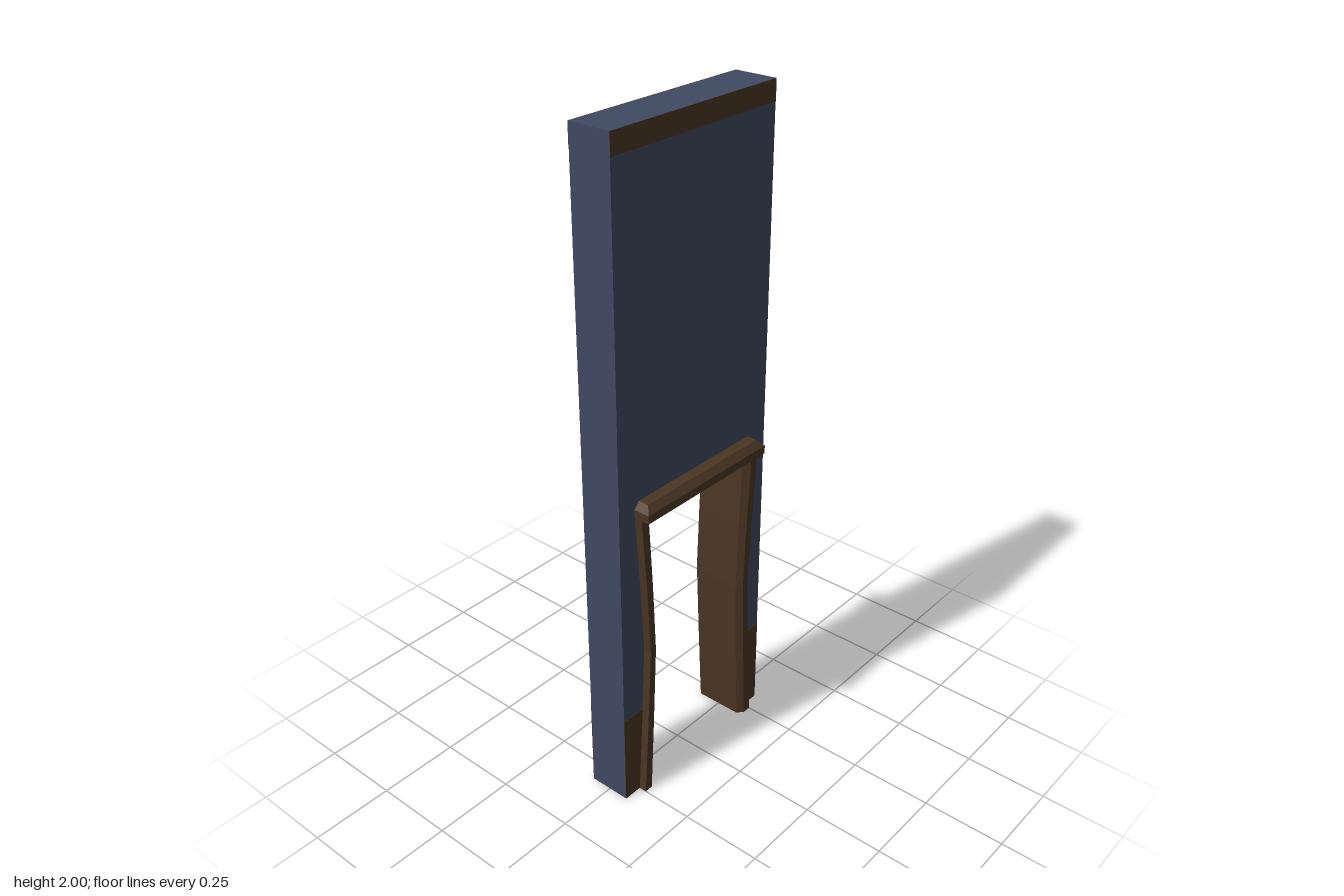
import * as THREE from 'three';

// Solid with flat sides through a stack of rings (each ring runs +z edge first, then +x)
function loft(rings) {
  const pos = [];
  const tri = (a, b, c) => pos.push(...a, ...b, ...c);
  const n = rings[0].length;
  for (let r = 0; r < rings.length - 1; r++) {
    const lo = rings[r], up = rings[r + 1];
    for (let i = 0; i < n; i++) {
      const j = (i + 1) % n;
      tri(lo[i], lo[j], up[j]);
      tri(lo[i], up[j], up[i]);
    }
  }
  const bottom = rings[0], top = rings[rings.length - 1];
  for (let i = 1; i < n - 1; i++) {
    tri(top[0], top[i], top[i + 1]);
    tri(bottom[0], bottom[i + 1], bottom[i]);
  }
  const geo = new THREE.BufferGeometry();
  geo.setAttribute('position', new THREE.Float32BufferAttribute(pos, 3));
  geo.computeVertexNormals();
  return geo;
}

export function createModel() {
  const group = new THREE.Group();
  const plaster = new THREE.MeshStandardMaterial({ color: 0x3f4961 });
  plaster.name = 'bluePlaster';
  const wood = new THREE.MeshStandardMaterial({ color: 0x4a3624 });
  wood.name = 'darkWood';

  const add = (name, geo, mat) => {
    const mesh = new THREE.Mesh(geo, mat);
    mesh.name = name;
    group.add(mesh);
    return mesh;
  };

  // Wall with a doorway cut through it
  const T = 0.065, W = 0.31, D = 0.21, H = 0.97;
  const outline = new THREE.Shape([
    [-W, 0], [-D, 0], [-D, H], [D, H], [D, 0], [W, 0], [W, 2], [-W, 2],
  ].map(([x, y]) => new THREE.Vector2(x, y)));
  const wallGeo = new THREE.ExtrudeGeometry(outline, { depth: 2 * T, bevelEnabled: false });
  wallGeo.translate(0, 0, -T);
  wallGeo.rotateY(Math.PI / 2);
  add('wall', wallGeo, plaster);

  // Painted bands on both wall faces: top strip and skirting
  const band = (name, side, z, width, y, height) => {
    add(name, new THREE.BoxGeometry(0.002, height, width), wood)
      .position.set(side * T, y + height / 2, z);
  };
  for (const side of [-1, 1]) {
    band('topStrip', side, 0, 2 * W, 1.94, 0.06);
    for (const end of [-1, 1]) band('skirting', side, end * (W + D) / 2, W - D, 0, 0.29);
  }

  // Door jambs, bowed inward at mid height: [y, outer z, inner z]
  const bow = [
    [0, 0.25, 0.205], [0.25, 0.234, 0.194], [0.5, 0.22, 0.184],
    [0.72, 0.232, 0.192], [0.96, 0.25, 0.205],
  ];
  // Cross-section: x and fraction from outer to inner, with chamfered inner corners
  const section = [[-0.09, 0], [0.09, 0], [0.09, 0.6], [0.073, 1], [-0.073, 1], [-0.09, 0.6]];
  const jambGeo = loft(bow.map(([y, o, i]) => section.map(([x, t]) => [x, y, o + (i - o) * t])));
  add('frontJamb', jambGeo, wood);
  add('backJamb', jambGeo, wood).rotation.y = Math.PI;

  // Lintel with a bevelled top edge
  const rect = (x, y, z) => [[-x, y, z], [x, y, z], [x, y, -z], [-x, y, -z]];
  add('lintel', loft([
    rect(0.115, 0.952, 0.25), rect(0.115, 0.977, 0.25), rect(0.097, 0.997, 0.232),
  ]), wood);

  return group;
}
